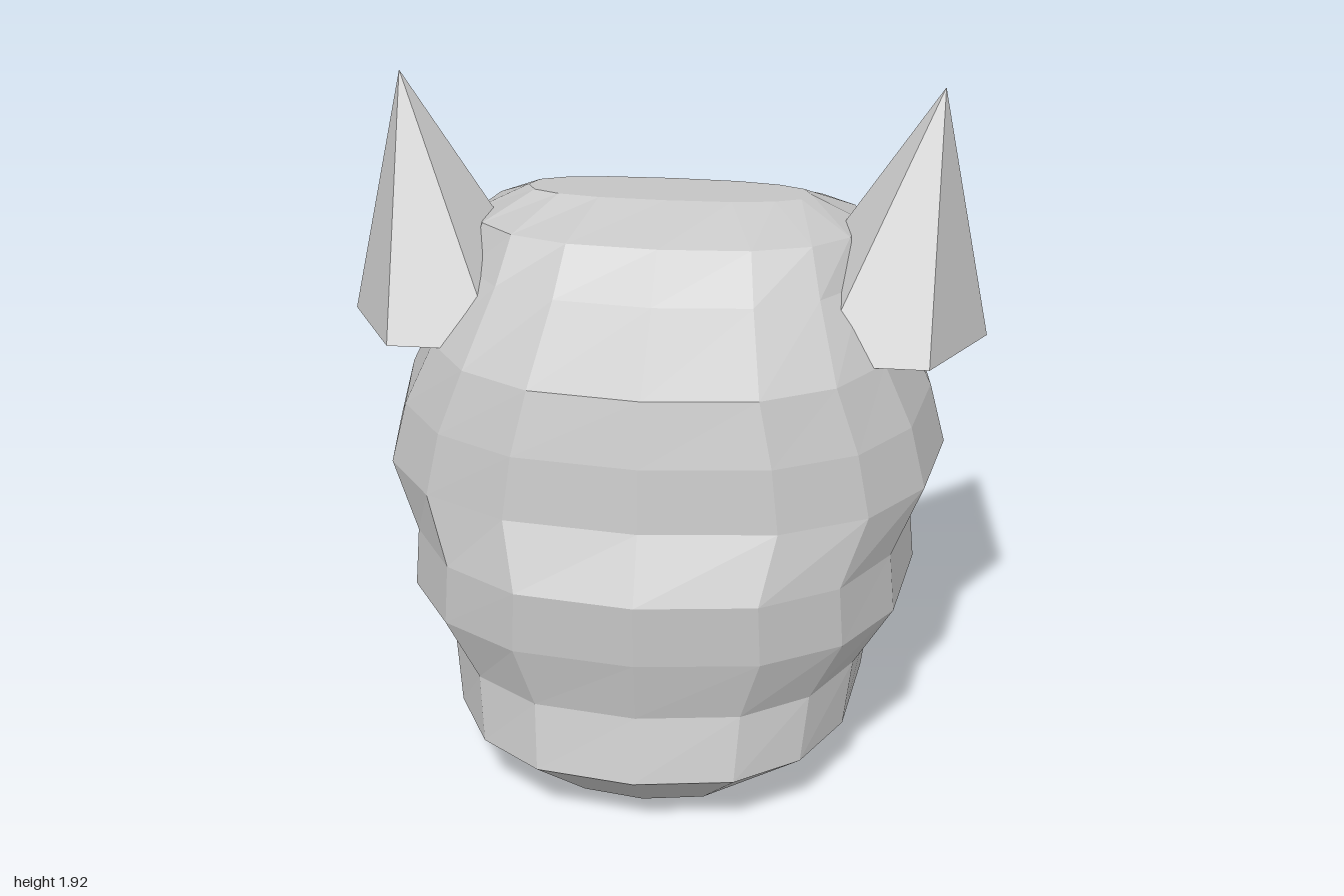
import * as THREE from 'three';

const grey = new THREE.MeshStandardMaterial({ color: 0xc4c4c4, side: THREE.DoubleSide });
grey.name = 'plain grey';

// Collects flat-shaded triangles
function facets() {
  const pos = [];
  const tri = (a, b, c) => pos.push(...a, ...b, ...c);
  const quad = (a, b, c, d) => { tri(a, b, c); tri(a, c, d); };
  const fan = (loop, centre) => loop.forEach((p, i) => tri(centre, p, loop[(i + 1) % loop.length]));
  const band = (lo, hi) => lo.forEach((p, i) => {
    const j = (i + 1) % lo.length;
    quad(p, lo[j], hi[j], hi[i]);
  });
  const mesh = (name) => {
    const g = new THREE.BufferGeometry();
    g.setAttribute('position', new THREE.Float32BufferAttribute(pos, 3));
    g.computeVertexNormals();
    const m = new THREE.Mesh(g, grey);
    m.name = name;
    return m;
  };
  return { tri, quad, fan, band, mesh };
}

// Sine or cosine bulged outward, for slightly squared ovals
const bulge = (v) => Math.sign(v) * Math.abs(v) ** 0.8;

export function createModel() {
  const group = new THREE.Group();
  group.name = 'helmet';

  // Shell rings: height, half width, front z, back z
  const N = 16;
  const rings = [
    [0, 0.365, 0.8, -0.22],
    [0.175, 0.585, 1.0, -0.455],
    [0.35, 0.61, 0.945, -0.47],
    [0.525, 0.725, 0.97, -0.52],
    [0.7, 0.71, 0.97, -0.51],
    [0.875, 0.8, 0.88, -0.53],
    [1.05, 0.755, 0.85, -0.5],
    [1.225, 0.67, 0.8, -0.45],
    [1.4, 0.59, 0.57, -0.35],
    [1.52, 0.55, 0.44, -0.17],
    [1.605, 0.4, 0.27, 0.07],
  ].map(([y, a, f, b]) => Array.from({ length: N }, (_, k) => {
    const t = (k / N) * Math.PI * 2;
    return [a * bulge(Math.sin(t)), y, (f + b) / 2 + ((f - b) / 2) * bulge(Math.cos(t))];
  }));

  // Lip, side edges and brow of the opening
  rings[2][8] = [0, 0.23, -0.46];
  for (const [k, s] of [[6, 1], [10, -1]]) {
    rings[3][k] = [s * 0.51, 0.525, -0.33];
    rings[4][k] = [s * 0.5, 0.7, -0.31];
    rings[5][k] = [s * 0.53, 0.875, -0.37];
    rings[2][8 - s] = [s * 0.25, 0.235, -0.425];
  }
  for (const k of [7, 8, 9]) {
    rings[5][k][1] = 0.94;
    rings[5][k][2] = k === 8 ? -0.49 : -0.46;
  }

  // Shell, left open at the back
  const shell = facets();
  for (let i = 0; i < rings.length - 1; i++) {
    for (let k = 0; k < N; k++) {
      const n = (k + 1) % N;
      const back = k >= 6 && k <= 9;
      const [lo, hi] = [rings[i], rings[i + 1]];
      if (back && (i === 3 || i === 4)) continue;
      if (back && i === 2) {
        if (k === 6) shell.tri(lo[6], lo[7], hi[6]);
        if (k === 9) shell.tri(lo[9], lo[10], hi[10]);
        continue;
      }
      shell.quad(lo[k], lo[n], hi[n], hi[k]);
    }
  }
  shell.fan(rings[0].slice().reverse(), [0, 0, 0.29]);
  shell.fan(rings[10], [0, 1.605, 0.17]);
  group.add(shell.mesh('shell'));

  // Recess behind the opening: tapering walls around a rounded column
  const rim = [[5, 6], [4, 6], [3, 6], [2, 7], [2, 8], [2, 9], [3, 10], [4, 10], [5, 10], [5, 9], [5, 8], [5, 7]]
    .map(([i, k]) => rings[i][k]);
  const inner = rim.map(([x, y]) => {
    const ix = x * 0.56;
    return [ix, y > 0.8 ? 0.94 : 0.32 + (y - 0.23) * 0.85, 0.22 - Math.sqrt(0.095 - ix * ix)];
  });
  const walls = facets();
  walls.band(rim, inner);
  group.add(walls.mesh('recessWalls'));
  const column = facets();
  column.quad(inner[0], inner[1], inner[2], inner[11]);
  column.quad(inner[8], inner[9], inner[6], inner[7]);
  column.quad(inner[11], inner[2], inner[3], inner[3]);
  column.quad(inner[9], inner[5], inner[6], inner[6]);
  column.quad(inner[11], inner[3], inner[4], inner[10]);
  column.quad(inner[10], inner[4], inner[5], inner[9]);
  group.add(column.mesh('column'));

  // Pointed visor: sections with upright sides and a flat underside, shrinking to a tip
  const sections = [
    // z, half width, top half width, crease y, top y, bottom y
    [-0.28, 0.535, 0.29, 1.18, 1.38, 0.975],
    [-0.5, 0.465, 0.265, 1.155, 1.32, 0.995],
    [-0.76, 0.26, 0.13, 1.085, 1.185, 1.03],
  ].map(([z, w, t, ym, yt, yb]) => [
    [w, ym, z], [t, yt, z], [-t, yt, z], [-w, ym, z], [-w * 0.96, yb, z], [w * 0.96, yb, z],
  ]);
  const visor = facets();
  visor.band(sections[1], sections[0]);
  visor.band(sections[2], sections[1]);
  visor.fan(sections[2].slice().reverse(), [0, 1.083, -1]);
  group.add(visor.mesh('visor'));

  // Ears: six-sided leaning spikes
  for (const s of [1, -1]) {
    const base = Array.from({ length: 6 }, (_, k) => {
      const t = (k / 6) * Math.PI * 2;
      return [s * (0.595 + 0.31 * Math.cos(t)), 1.228, 0.223 + 0.325 * Math.sin(t)];
    });
    if (s > 0) base.reverse();
    const ear = facets();
    ear.fan(base, [s * 0.76, 1.925, 0.17]);
    ear.fan(base.slice().reverse(), [s * 0.595, 1.228, 0.223]);
    group.add(ear.mesh(s > 0 ? 'leftEar' : 'rightEar'));
  }
  return group;
}
